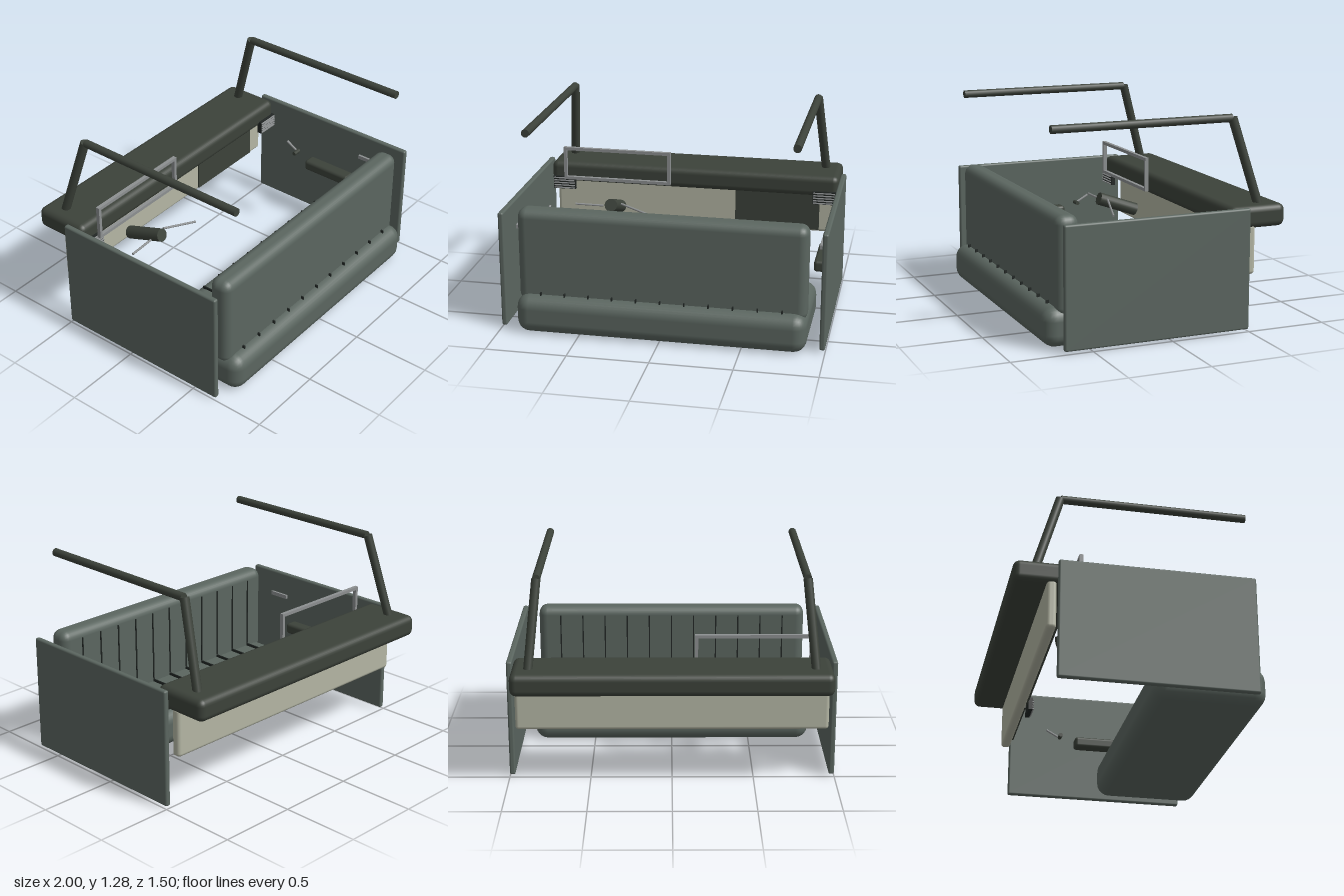
import * as THREE from 'three';
import { RoundedBoxGeometry } from 'three/addons/geometries/RoundedBoxGeometry.js';

const material = (name, color) => {
  const m = new THREE.MeshStandardMaterial({ color });
  m.name = name;
  return m;
};

export function createModel() {
  const group = new THREE.Group();
  const upholstery = material('grey green upholstery', 0x5b6660);
  const trim = material('dark trim', 0x3c423a);
  const cream = material('cream paint', 0xb4b6a4);
  const metal = material('grey metal', 0x8d9091);
  const seam = material('black seam', 0x222725);

  const add = (name, geometry, mat) => {
    const mesh = new THREE.Mesh(geometry, mat);
    mesh.name = name;
    group.add(mesh);
    return mesh;
  };
  // Box given by its lower and upper limits, rounded when a radius is given
  const box = (name, mat, x, y, z, radius = 0, segments = 3) => {
    const size = [x[1] - x[0], y[1] - y[0], z[1] - z[0]];
    const geometry = radius
      ? new RoundedBoxGeometry(...size, segments, radius)
      : new THREE.BoxGeometry(...size);
    const mesh = add(name, geometry, mat);
    mesh.position.set((x[0] + x[1]) / 2, (y[0] + y[1]) / 2, (z[0] + z[1]) / 2);
    return mesh;
  };
  // Round bar between two points
  const rod = (name, mat, from, to, radius, sides = 12) => {
    const a = new THREE.Vector3(...from), b = new THREE.Vector3(...to);
    const dir = b.clone().sub(a);
    const mesh = add(name, new THREE.CylinderGeometry(radius, radius, dir.length(), sides), mat);
    mesh.position.copy(a).add(b).multiplyScalar(0.5);
    mesh.quaternion.setFromUnitVectors(new THREE.Vector3(0, 1, 0), dir.normalize());
    return mesh;
  };
  const span = (s, a, b) => (s > 0 ? [a, b] : [-b, -a]);

  // Bench seat with pleat seams
  box('seatCushion', upholstery, [-0.89, 0.89], [0, 0.24], [0.08, 0.75], 0.08);
  box('seatBack', upholstery, [-0.885, 0.885], [0.18, 0.776], [0.53, 0.672], 0.055);
  for (let i = -5; i <= 5; i++) {
    const x = [i * 0.148 - 0.004, i * 0.148 + 0.004];
    box('cushionSeam', seam, x, [0.235, 0.257], [0.13, 0.69]);
    box('backSeam', seam, x, [0.26, 0.72], [0.524, 0.534]);
  }

  // Dashboard and the panel below it
  box('dashboard', trim, [-0.96, 0.96], [0.615, 0.752], [-0.755, -0.39], 0.04);
  box('firewall', cream, [-0.95, 0.95], [0.335, 0.64], [-0.56, -0.5], 0.022);
  box('gloveBox', trim, [0.27, 0.83], [0.35, 0.61], [-0.51, -0.492]);

  // Instrument frame standing in front of the dashboard
  for (const y of [0.66, 0.862]) box('frameRail', metal, [-0.86, -0.14], [y - 0.01, y + 0.01], [-0.357, -0.333]);
  for (const x of [-0.85, -0.15]) box('framePost', metal, [x - 0.01, x + 0.01], [0.65, 0.872], [-0.357, -0.333]);

  // Steering column and stalks
  rod('steeringColumn', trim, [-0.5, 0.55, -0.155], [-0.5, 0.455, -0.42], 0.042, 16);
  rod('leftStalk', metal, [-0.56, 0.53, -0.195], [-0.745, 0.536, -0.18], 0.007, 8);
  rod('rightStalk', metal, [-0.44, 0.55, -0.195], [-0.2, 0.493, -0.135], 0.007, 8);

  for (const s of [1, -1]) {
    // Doors with armrest, handle and window crank
    box('doorPanel', upholstery, span(s, 0.965, 1), [0.015, 0.75], [-0.5, 0.672], 0.012, 2);
    box('armrest', trim, span(s, 0.88, 0.968), [0.36, 0.432], [-0.06, 0.29], 0.02);
    box('doorHandle', metal, span(s, 0.932, 0.947), [0.585, 0.61], [0.34, 0.48]);
    rod('windowCrank', metal, [s * 0.94, 0.435, -0.16], [s * 0.94, 0.485, -0.25], 0.008, 8);
    rod('crankKnob', trim, [s * 0.948, 0.44, -0.158], [s * 0.893, 0.44, -0.158], 0.014, 10);

    // Air vent with slats
    box('vent', seam, span(s, 0.795, 0.945), [0.57, 0.655], [-0.4, -0.372]);
    for (let i = 0; i < 5; i++) {
      const y = 0.578 + i * 0.017;
      box('ventSlat', metal, span(s, 0.8, 0.94), [y - 0.003, y + 0.003], [-0.374, -0.362]);
    }

    // Windscreen pillar and roof rail
    rod('windscreenPillar', trim, [s * 0.86, 0.7, -0.632], [s * 0.805, 1.262, -0.468], 0.028, 14);
    rod('roofRail', trim, [s * 0.805, 1.26, -0.462], [s * 0.805, 1.26, 0.677], 0.025, 14);
  }
  return group;
}
